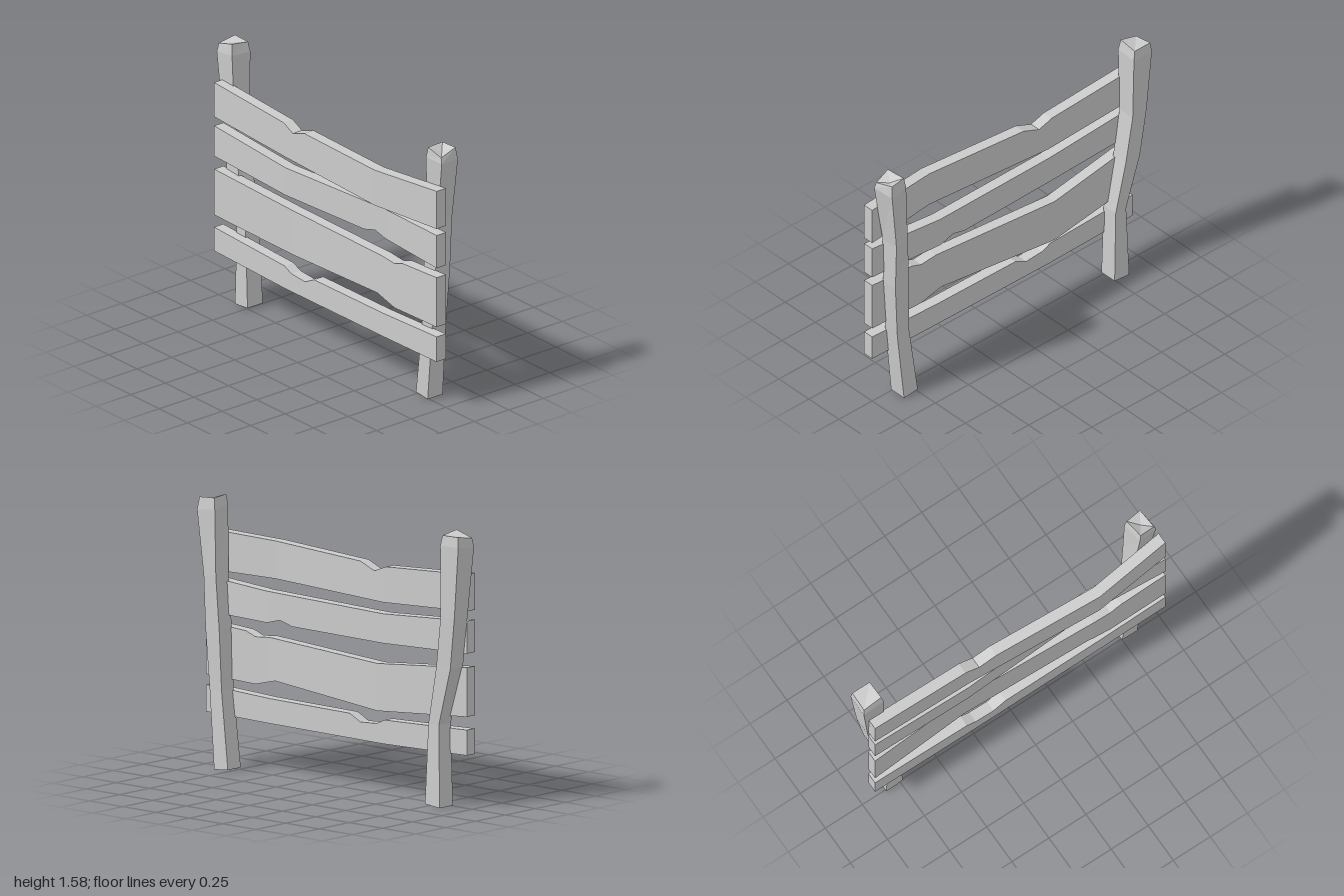
import * as THREE from 'three';

const material = new THREE.MeshStandardMaterial({ color: 0xcccccc, flatShading: true });

// Skin a row of four-cornered sections; the last end may sink or rise at its centre
function loft(rings, endDip = 0) {
  const pos = [];
  const tri = (a, b, c) => pos.push(...a, ...b, ...c);
  const centre = r => [0, 1, 2].map(k => r.reduce((s, p) => s + p[k], 0) / r.length);
  const first = rings[0], last = rings[rings.length - 1];
  const c0 = centre(first), c1 = centre(last);
  c1[1] += endDip;
  for (let j = 0; j < 4; j++) {
    const k = (j + 1) % 4;
    for (let i = 0; i < rings.length - 1; i++) {
      const a = rings[i], b = rings[i + 1];
      tri(a[j], a[k], b[k]);
      tri(a[j], b[k], b[j]);
    }
    tri(c0, first[k], first[j]);
    tri(c1, last[j], last[k]);
  }
  const g = new THREE.BufferGeometry();
  g.setAttribute('position', new THREE.Float32BufferAttribute(pos, 3));
  g.computeVertexNormals();
  return g;
}

// Piecewise linear lookup in a list of [x, value]
function sample(line, x) {
  for (let i = 1; i < line.length; i++) {
    const [x0, v0] = line[i - 1], [x1, v1] = line[i];
    if (x <= x1) return v0 + (v1 - v0) * (x - x0) / (x1 - x0);
  }
  return line[line.length - 1][1];
}

// Plank with uneven top and bottom edges and a slight bow in depth
function plank(top, bottom, bow) {
  const xs = [...new Set([...top, ...bottom, ...bow].map(p => p[0]))].sort((a, b) => a - b);
  return loft(xs.map(x => {
    const t = sample(top, x), b = sample(bottom, x), z = sample(bow, x);
    return [[x, b, z + 0.067], [x, b, z], [x, t, z], [x, t, z + 0.067]];
  }));
}

// Post from sections [y, xMin, xMax, zBack, zFront, twist, corner heights]
function post(sections, dip) {
  return loft(sections.map(([y, x0, x1, z0, z1, twist = 0, lift = [0, 0, 0, 0]]) => {
    const cx = (x0 + x1) / 2, cz = (z0 + z1) / 2;
    const c = Math.cos(twist), s = Math.sin(twist);
    return [[x0, z1], [x1, z1], [x1, z0], [x0, z0]].map(([x, z], i) => {
      const dx = x - cx, dz = z - cz;
      return [cx + dx * c + dz * s, y + lift[i], cz - dx * s + dz * c];
    });
  }), dip);
}

export function createModel() {
  const group = new THREE.Group();
  const add = (name, geometry) => {
    const mesh = new THREE.Mesh(geometry, material);
    mesh.name = name;
    group.add(mesh);
  };

  // Crooked posts with bevelled, roughly cut tops
  add('rightPost', post([
    [0, -0.845, -0.735, -0.10, 0.01, 0, [0, 0.01, 0.01, 0]],
    [0.47, -0.83, -0.752, -0.09, 0.01],
    [0.8, -0.925, -0.82, -0.10, 0.005],
    [1.1, -0.965, -0.862, -0.11, 0],
    [1.5, -1, -0.865, -0.117, 0.015, 0, [-0.01, 0.01, 0, 0]],
    [1.555, -0.993, -0.877, -0.11, 0.006, 0, [-0.013, 0.02, 0.003, 0.005]],
  ], -0.008));
  add('leftPost', post([
    [0, 0.747, 0.85, -0.10, 0.008, 0, [0.01, 0, 0, 0.01]],
    [0.45, 0.803, 0.892, -0.09, 0.01],
    [0.8, 0.812, 0.915, -0.10, 0.005],
    [1.1, 0.832, 0.92, -0.11, 0, 0.04],
    [1.46, 0.848, 0.968, -0.114, 0.018, 0.13, [0.03, 0.02, 0.01, 0.02]],
    [1.535, 0.858, 0.958, -0.105, 0.012, 0.13, [0.015, -0.02, 0.007, 0.01]],
  ], -0.025));

  // Planks, top to bottom
  add('topPlank', plank(
    [[-0.96, 1.33], [-0.35, 1.295], [-0.26, 1.26], [-0.15, 1.30], [0.52, 1.32], [1, 1.34]],
    [[-0.96, 1.12], [-0.33, 1.09], [0.52, 1.105], [1, 1.11]],
    [[-0.96, 0], [-0.33, 0], [0.52, 0.055], [1, 0]]));
  add('upperPlank', plank(
    [[-0.96, 1.065], [-0.33, 1.025], [0.52, 1.05], [1, 1.07]],
    [[-0.96, 0.88], [-0.33, 0.857], [0.33, 0.87], [0.42, 0.895], [0.51, 0.87], [1, 0.87]],
    [[-0.96, 0], [-0.33, 0], [0.52, -0.035], [1, 0]]));
  add('lowerPlank', plank(
    [[-0.96, 0.80], [-0.33, 0.75], [0.52, 0.78], [0.63, 0.77], [0.7, 0.795], [1, 0.812]],
    [[-0.96, 0.52], [-0.33, 0.48], [0.48, 0.538], [0.63, 0.50], [1, 0.51]],
    [[-0.96, 0], [-0.33, -0.05], [0.52, 0], [1, 0]]));
  add('bottomPlank', plank(
    [[-0.96, 0.445], [-0.34, 0.422], [-0.28, 0.395], [-0.16, 0.387], [-0.08, 0.427], [0.52, 0.432], [1, 0.45]],
    [[-0.96, 0.30], [-0.33, 0.285], [0.52, 0.29], [1, 0.297]],
    [[-0.96, 0], [1, 0]]));

  return group;
}
